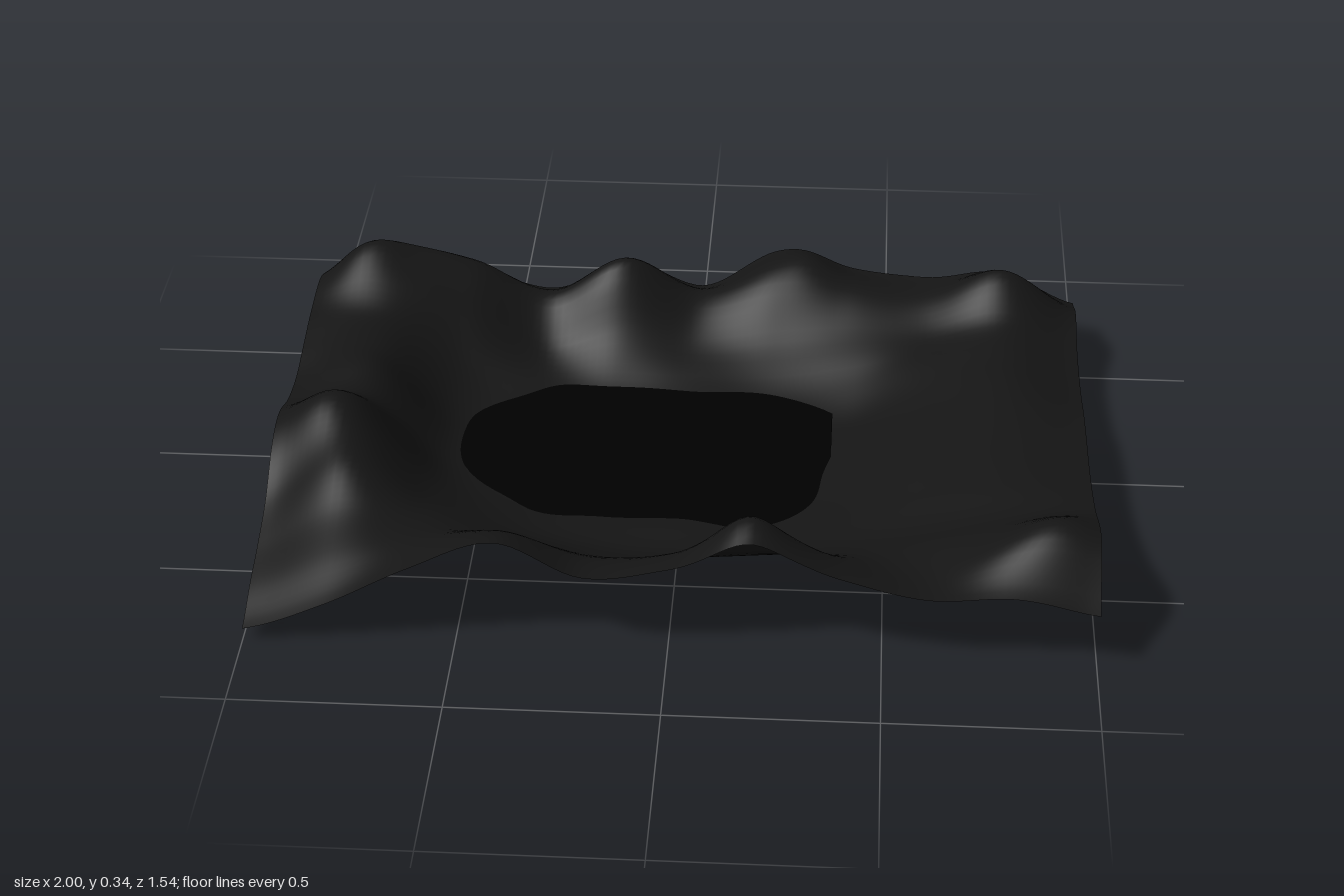
import * as THREE from 'three';

// Ground heights in cm: rows run back to front, columns run from -x to +x
const heights = [
  [8, 18, 16, 11, 18, 9, 20, 16, 17, 20, 11],
  [19, 29, 26, 16, 26, 15, 21, 19, 18, 27, 15],
  [23, 28, 20, 7, 11, 7, 9, 12, 14, 19, 12],
  [23, 22, 9, 2.8, 1.9, 2.5, 2.6, 6, 13, 17, 11.5],
  [21, 21, 4.5, 0.8, 0, 0, 0.5, 2.7, 12, 17, 12.5],
  [19, 23, 3.5, 0.5, 0, 0, 0, 3.2, 12, 17, 14.5],
  [20, 22, 4, 0.5, 0, 0, 0, 4, 12.5, 17, 15.5],
  [23, 27, 7, 1.5, 0.5, 0.5, 0.5, 4.5, 13, 17, 16],
  [21, 27, 11, 4, 3, 3, 2.6, 6, 13, 17, 17.5],
  [14, 26, 15, 8, 4.5, 4, 5, 8, 13, 17, 20],
  [10, 20, 18, 15, 10.5, 10, 12, 13, 16, 21, 23],
  [7, 16, 21, 25, 18, 20, 28, 20, 17, 24, 24],
  [3, 11, 22, 30, 21, 24, 30, 23, 18, 19, 15],
];
const ROWS = heights.length - 1, COLS = heights[0].length - 1;
const BACK = -0.7, FRONT = 0.77;

// Sharper hilltops: x, z, added height, radius
const peaks = [
  [-0.89, -0.53, 0.06, 0.1],
  [-0.88, 0.2, 0.045, 0.1],
  [0.18, 0.7, 0.045, 0.08],
  [0.29, -0.64, 0.03, 0.08],
  [0.9, 0.59, 0.05, 0.11],
];

// Smooth curve through evenly spaced samples, t in 0..samples-1
function spline(samples, t) {
  const last = samples.length - 1;
  const i = Math.min(Math.floor(t), last - 1), f = t - i;
  const at = (k) => samples[Math.max(0, Math.min(last, k))];
  const a = at(i - 1), b = at(i), c = at(i + 1), d = at(i + 2);
  return b + 0.5 * f * (c - a + f * (2 * a - 5 * b + 4 * c - d + f * (3 * (b - c) + d - a)));
}

function groundHeight(u, v) {
  const column = heights.map((row) => spline(row, u * COLS));
  let y = Math.max(0, spline(column, v * ROWS) / 100);
  const x = u * 2 - 1, z = BACK + v * (FRONT - BACK);
  for (const [px, pz, h, r] of peaks) {
    y += h * Math.exp(-((x - px) ** 2 + (z - pz) ** 2) / (r * r));
  }
  return y;
}

// Outward swell in the middle of the back edge
function backSwell(x) {
  const s = THREE.MathUtils.smoothstep;
  return 0.07 * s(x, -0.35, 0.0) * (1 - s(x, 0.35, 0.7));
}

function createTerrain() {
  const geometry = new THREE.PlaneGeometry(2, FRONT - BACK, 100, 74);
  geometry.rotateX(-Math.PI / 2);
  const p = geometry.attributes.position;
  for (let i = 0; i < p.count; i++) {
    const x = p.getX(i);
    const v = THREE.MathUtils.clamp(p.getZ(i) / (FRONT - BACK) + 0.5, 0, 1);
    const u = THREE.MathUtils.clamp((x + 1) / 2, 0, 1);
    const nearBack = Math.max(0, 1 - v * 5);
    const z = BACK + v * (FRONT - BACK) - backSwell(x) * nearBack;
    p.setXYZ(i, x, groundHeight(u, v), z);
  }
  geometry.computeVertexNormals();
  const mesh = new THREE.Mesh(geometry,
    new THREE.MeshStandardMaterial({ color: 0x151515, side: THREE.DoubleSide }));
  mesh.name = 'terrain';
  return mesh;
}

// Flat sheet whose border disappears under the shore
function createWater() {
  const geometry = new THREE.PlaneGeometry(1.0, 0.7);
  geometry.rotateX(-Math.PI / 2);
  const mesh = new THREE.Mesh(geometry,
    new THREE.MeshStandardMaterial({ color: 0x000000, side: THREE.DoubleSide }));
  mesh.name = 'lakeWater';
  mesh.position.set(-0.135, 0.025, -0.037);
  return mesh;
}

export function createModel() {
  const group = new THREE.Group();
  group.name = 'hillyLakeTerrain';
  group.add(createTerrain(), createWater());
  return group;
}
